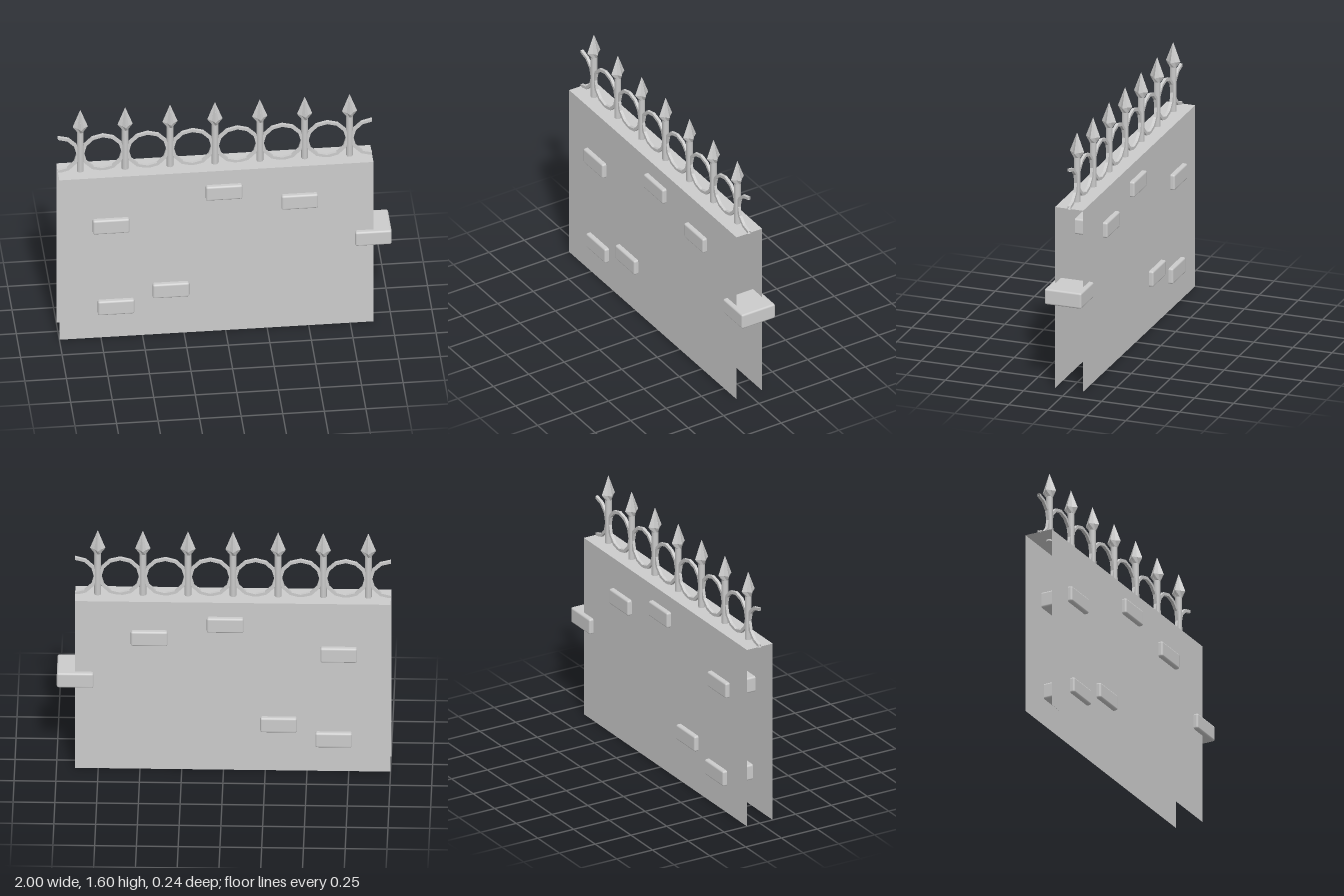
import * as THREE from 'three';
import { RoundedBoxGeometry } from 'three/addons/geometries/RoundedBoxGeometry.js';

const LEFT = -1, RIGHT = 0.89, TOP = 1.16, HALF_DEPTH = 0.09, SPACING = 0.27;

export function createModel() {
  const group = new THREE.Group();
  const smooth = new THREE.MeshStandardMaterial({ color: 0xcccccc });
  const flat = new THREE.MeshStandardMaterial({ color: 0xcccccc, flatShading: true });
  const thin = new THREE.MeshStandardMaterial({ color: 0xcccccc, flatShading: true, side: THREE.DoubleSide });

  const add = (name, geometry, material, x, y, z = 0, parent = group) => {
    const mesh = new THREE.Mesh(geometry, material);
    mesh.name = name;
    mesh.position.set(x, y, z);
    parent.add(mesh);
    return mesh;
  };

  // Wall shell: two panels and a cap, open at the ends and underneath
  const length = RIGHT - LEFT, midX = (LEFT + RIGHT) / 2;
  const panel = new THREE.PlaneGeometry(length, TOP);
  add('wallFront', panel, thin, midX, TOP / 2, HALF_DEPTH);
  add('wallBack', panel, thin, midX, TOP / 2, -HALF_DEPTH).rotation.y = Math.PI;
  add('wallCap', new THREE.PlaneGeometry(length, HALF_DEPTH * 2).rotateX(-Math.PI / 2), thin, midX, TOP, 0);

  // Bricks running right through the wall
  const brick = new RoundedBoxGeometry(0.22, 0.1, 0.236, 2, 0.012);
  [[-0.69, 0.815], [-0.01, 1.013], [0.445, 0.915], [0.888, 0.62], [-0.33, 0.325], [-0.66, 0.225]]
    .forEach(([x, y]) => add('brick', brick, smooth, x, y));

  // Spear head: star-shaped cross-section, pointed at the top
  const head = new THREE.LatheGeometry(
    [[0, 0], [0.022, 0], [0.046, 0.035], [0.001, 0.155]].map(p => new THREE.Vector2(...p)), 8);
  const pos = head.attributes.position;
  for (let i = 0; i < pos.count; i++) {
    const x = pos.getX(i), z = pos.getZ(i);
    const diagonal = Math.abs(x * z) > 1e-6 && Math.hypot(x, z) > 0.03;
    if (diagonal) pos.setXYZ(i, x * 0.62, pos.getY(i), z * 0.62);
  }

  // Seven spears
  const post = new THREE.CylinderGeometry(0.021, 0.021, 0.3, 8);
  for (let i = 0; i < 7; i++) {
    const spear = new THREE.Group();
    spear.name = 'spear';
    spear.position.x = LEFT + SPACING * (i + 0.5);
    add('post', post, smooth, 0, 1.3, 0, spear);
    add('spearHead', head, flat, 0, 1.445, 0, spear);
    group.add(spear);
  }

  // Twelve-sided rings between the spears, with a half ring at each end
  const section = [[0.112, -0.009], [0.131, -0.009], [0.131, 0.009], [0.112, 0.009], [0.112, -0.009]]
    .map(p => new THREE.Vector2(...p));
  const ring = (sides, start) =>
    new THREE.LatheGeometry(section, sides, start, sides * Math.PI / 6).rotateX(Math.PI / 2);
  const fullRing = ring(12, 0);
  for (let i = 0; i <= 7; i++) {
    const geometry = i === 0 ? ring(6, 0) : i === 7 ? ring(6, Math.PI) : fullRing;
    add('ring', geometry, thin, LEFT + SPACING * i, 1.286);
  }
  return group;
}
